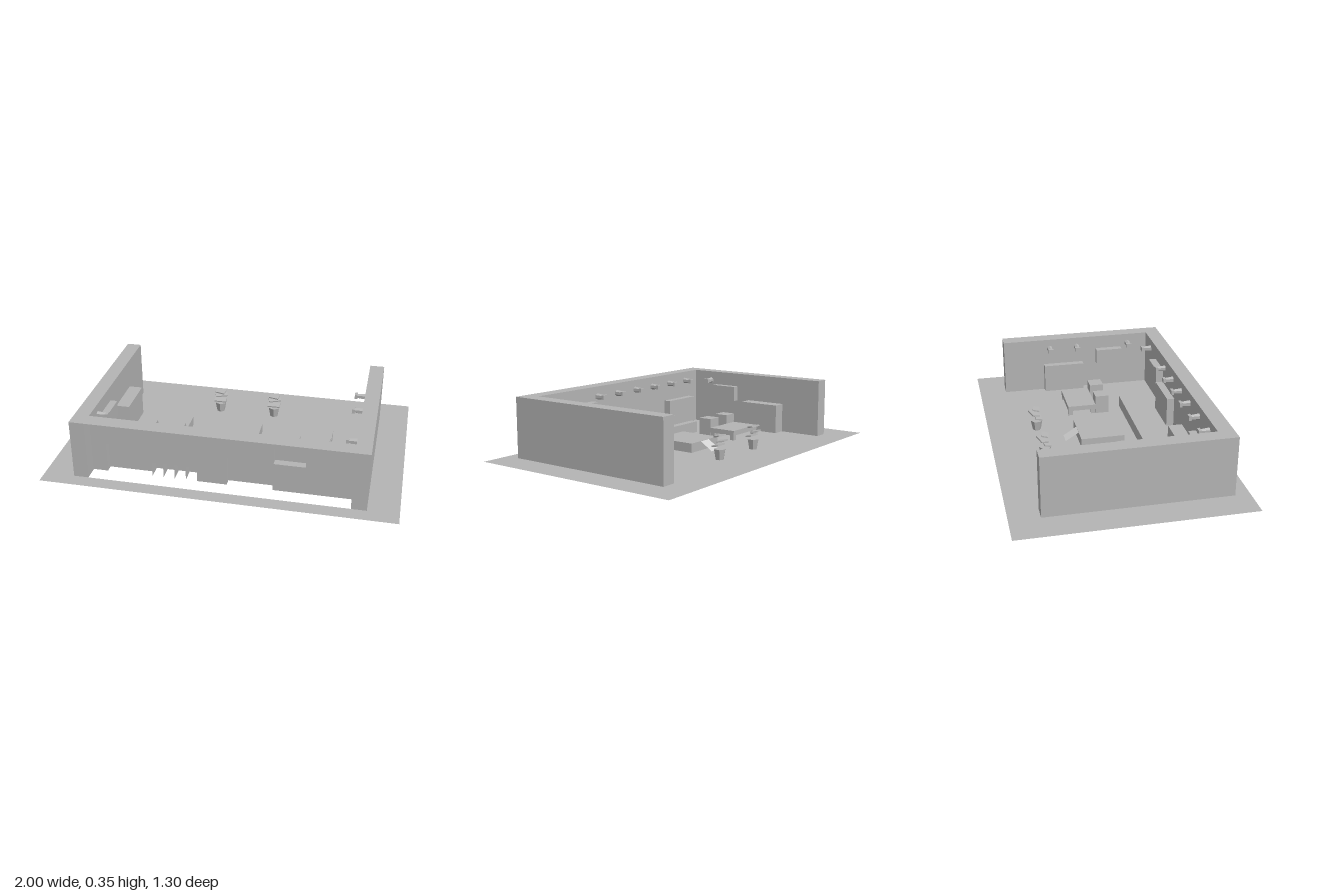
import * as THREE from 'three';

export function createModel() {
  const model = new THREE.Group();
  const gray = new THREE.MeshStandardMaterial({ color: 0xb4b4b4, side: THREE.DoubleSide, flatShading: true });
  gray.name = 'plainGray';
  const pale = new THREE.MeshStandardMaterial({ color: 0xd2d2d2, side: THREE.DoubleSide, flatShading: true });
  pale.name = 'paleGray';

  const add = (name, geometry, material = gray, parent = model) => {
    const mesh = new THREE.Mesh(geometry, material);
    mesh.name = name;
    parent.add(mesh);
    return mesh;
  };
  const path = (pts, Type = THREE.Path) => new Type(pts.map(([a, b]) => new THREE.Vector2(a, b)));
  const rect = (a0, a1, b0, b1) => [[a0, b0], [a1, b0], [a1, b1], [a0, b1]];
  const sheet = (outline, holes = []) => {
    const shape = path(outline, THREE.Shape);
    shape.holes = holes.map((h) => path(h));
    return new THREE.ShapeGeometry(shape);
  };

  // Hollow box; "skip" lists the open sides by box group: 0 +x, 1 -x, 2 +y, 3 -y, 4 +z, 5 -z
  function box(name, x0, x1, y0, y1, z0, z1, skip = [], parent = model) {
    const g = new THREE.BoxGeometry(x1 - x0, y1 - y0, z1 - z0);
    const all = Array.from(g.index.array);
    g.setIndex(all.filter((_, i) => !skip.includes(Math.floor(i / 6))));
    g.clearGroups();
    g.translate((x0 + x1) / 2, (y0 + y1) / 2, (z0 + z1) / 2);
    return add(name, g, gray, parent);
  }

  const H = 0.35, XO = 0.825, XI = 0.74, ZB = -0.48, ZI = 0.475, ZO = 0.565;

  // Floor sheet, open beneath the hollow walls and furniture
  const footprint = [
    [-XO, ZB], [-XI, ZB], [-XI, -0.22], [-0.66, -0.22], [-0.66, 0.04], [-XI, 0.04], [-XI, ZI],
    [-0.655, ZI], [-0.655, 0.43], [-0.39, 0.43], [-0.39, 0.39], [-0.13, 0.39], [-0.13, ZI],
    [0.04, ZI], [0.04, 0.43], [0.305, 0.43], [0.305, ZI], [XI, ZI],
    [XI, 0.04], [0.7, 0.04], [0.7, -0.22], [XI, -0.22], [XI, ZB], [XO, ZB], [XO, ZO], [-XO, ZO],
  ];
  const tableFoot = rect(-0.13, 0.13, -0.135, 0.125);
  const barFoot = rect(-0.39, 0.385, 0.21, 0.255);
  add('floor', sheet(rect(-1, 1, -0.65, 0.65), [footprint, tableFoot, barFoot])
    .rotateX(Math.PI / 2));

  // Side walls: hollow, with an opening behind each cabinet
  for (const s of [-1, 1]) {
    const wall = new THREE.Group();
    wall.name = s > 0 ? 'leftWall' : 'rightWall';
    model.add(wall);
    const x0 = Math.min(s * XO, s * XI), x1 = Math.max(s * XO, s * XI);
    box('wallShell', x0, x1, 0, H, ZB, ZO, [3, s > 0 ? 1 : 0], wall);
    const outline = [[ZB, 0], [-0.22, 0], [-0.22, 0.18], [0.04, 0.18], [0.04, 0], [ZO, 0], [ZO, H], [ZB, H]];
    add('wallInside', sheet(outline, [rect(0.13, 0.3, 0.17, 0.265)])
      .rotateY(-Math.PI / 2).translate(s * XI, 0, 0), gray, wall);
    const open = [s > 0 ? 0 : 1];
    const span = (depth) => (s > 0 ? [XI - depth, XI] : [-XI, -XI + depth]);
    box('sideCabinet', ...span(s > 0 ? 0.04 : 0.08), 0, 0.18, -0.22, 0.04, [3, ...open], wall);
    box('wallCabinet', ...span(0.042), 0.17, 0.265, 0.13, 0.3, open, wall);
  }

  // Front wall: inner face and top only, open to the front
  const front = [
    [-XI, 0], [-0.655, 0], [-0.655, 0.18], [-0.39, 0.18], [-0.39, 0.09], [-0.13, 0.09], [-0.13, 0],
    [0.04, 0], [0.04, 0.18], [0.3, 0.18], [0.3, 0], [XI, 0], [XI, H], [-XI, H],
  ];
  add('frontWall', sheet(front, [rect(0.302, 0.478, 0.17, 0.265)]).translate(0, 0, ZI));
  add('frontWallTop', sheet(rect(-XI, XI, ZI, ZO)).rotateX(Math.PI / 2).translate(0, H, 0));
  box('tallCabinet', -0.655, -0.39, 0, 0.18, 0.43, ZI, [3, 4]);
  box('tallCabinet', 0.04, 0.3, 0, 0.18, 0.43, ZI, [3, 4]);
  box('hangingCabinet', 0.302, 0.478, 0.17, 0.265, 0.43, ZI, [4]);
  box('lowShelf', -0.39, -0.13, 0, 0.09, 0.39, ZI, [3, 4]);
  for (const x of [-0.325, -0.26, -0.195]) {
    add('shelfDivider', new THREE.PlaneGeometry(0.085, 0.09).rotateY(Math.PI / 2).translate(x, 0.045, 0.4325));
  }

  // Small wall lamps pointing into the room
  function lamp(x, z, turn) {
    const g = new THREE.Group();
    g.name = 'wallLamp';
    add('lampBody', new THREE.CylinderGeometry(0.014, 0.019, 0.05, 6).rotateX(-Math.PI / 2)
      .translate(0, 0, -0.025), gray, g);
    add('lampHead', new THREE.BoxGeometry(0.036, 0.026, 0.016).translate(0, 0, -0.056), gray, g);
    g.position.set(x, 0.29, z);
    g.rotation.y = turn;
    model.add(g);
  }
  for (const x of [-0.61, -0.435, -0.26, -0.09, 0.085, 0.26, 0.605]) lamp(x, ZI, 0);
  for (const z of [-0.18, 0, 0.345]) lamp(XI, z, Math.PI / 2);
  lamp(-XI, 0.345, -Math.PI / 2);

  // Two side tables, each with two seats
  for (const cx of [-0.435, 0.435]) {
    const set = new THREE.Group();
    set.name = 'tableSet';
    model.add(set);
    box('tableTop', cx - 0.13, cx + 0.13, 0.03, 0.06, -0.135, 0.04, [], set);
    for (const lx of [-0.115, 0.115]) {
      for (const z of [-0.12, 0.025]) {
        box('tableLeg', cx + lx - 0.013, cx + lx + 0.013, 0, 0.03, z - 0.013, z + 0.013, [2], set);
      }
    }
    for (const d of [-0.0875, 0.0875]) box('seat', cx + d - 0.0425, cx + d + 0.0425, 0, 0.115, 0.04, 0.125, [], set);
  }

  // Centre platform with its pale ramp, and the long counter
  box('centrePlatform', -0.13, 0.13, 0, 0.055, -0.135, 0.125, [3]);
  const ramp = add('ramp', new THREE.PlaneGeometry(0.08, 0.093).rotateX(-Math.PI / 2), pale);
  ramp.position.set(0, 0.029, -0.174);
  ramp.rotation.x = -0.56;
  box('counter', -0.39, 0.385, 0, 0.07, 0.21, 0.255, [3]);

  // Potted plants with stacked flat leaves
  for (const x of [-0.18, 0.165]) {
    const plant = new THREE.Group();
    plant.name = 'pottedPlant';
    add('pot', new THREE.CylinderGeometry(0.036, 0.025, 0.06, 6).translate(0, 0.03, 0), gray, plant);
    [[0.08, 0.075, 0.04, 0.01, 0], [0.107, 0.075, 0.045, -0.015, 0.3], [0.135, 0.06, 0.04, 0, -0.2]]
      .forEach(([y, w, d, z, turn]) => {
        const leaf = add('leafLayer', new THREE.BoxGeometry(w, 0.008, d), gray, plant);
        leaf.position.set(0, y, z);
        leaf.rotation.set(0.2, turn, 0);
      });
    plant.position.set(x, 0, -0.357);
    model.add(plant);
  }
  return model;
}
